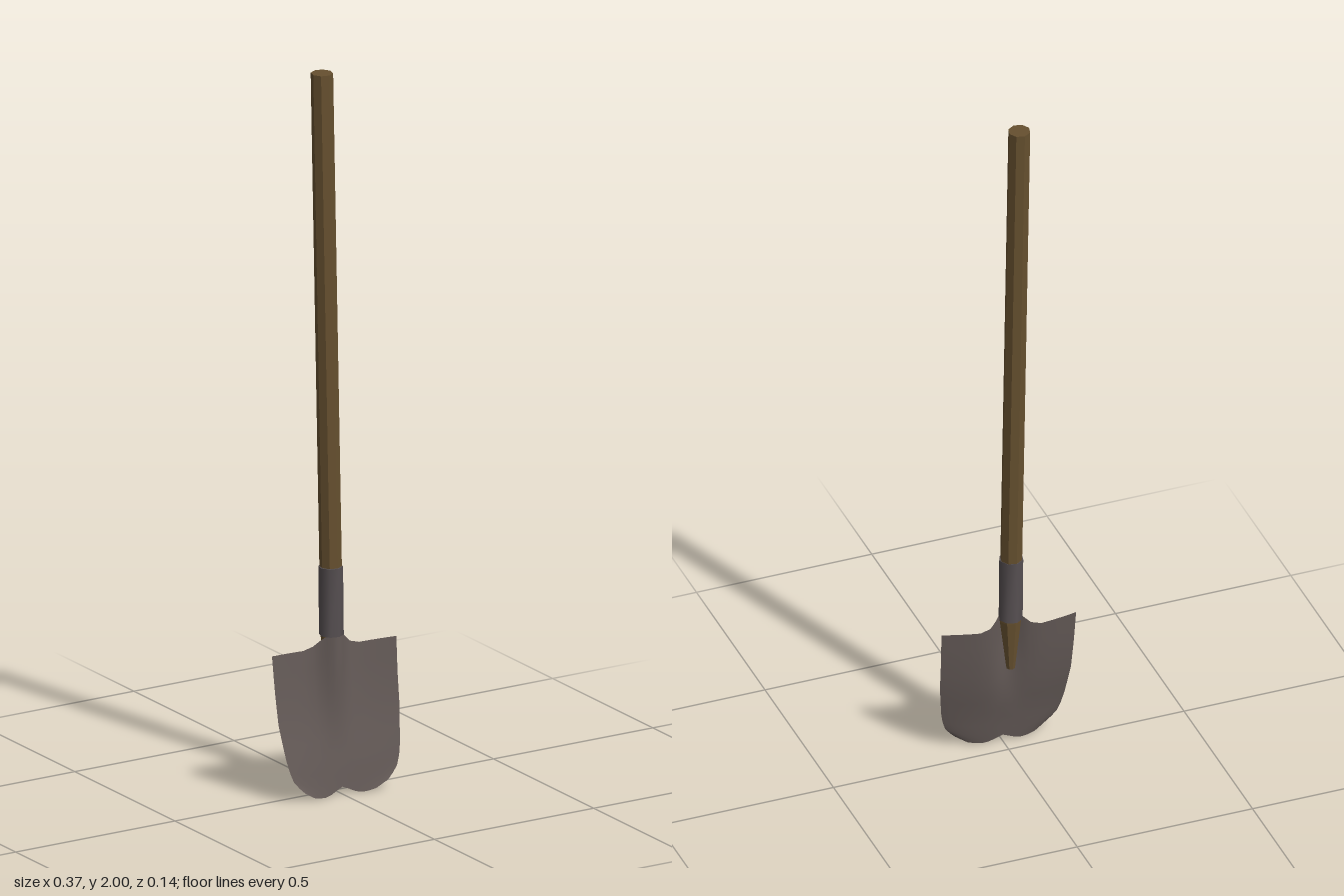
import * as THREE from 'three';

const wood = new THREE.MeshStandardMaterial({ color: 0x66502f });
wood.name = 'brown wood';
wood.flatShading = true;
const steel = new THREE.MeshStandardMaterial({ color: 0x645a57, side: THREE.DoubleSide });
steel.name = 'worn steel';
const darkSteel = new THREE.MeshStandardMaterial({ color: 0x575052 });
darkSteel.name = 'dark steel';

// Piecewise linear lookup in a list of [key, value] pairs
function lookup(table, k) {
  for (let i = 1; i < table.length; i++) {
    const [a, va] = table[i - 1], [b, vb] = table[i];
    if (k <= b) return THREE.MathUtils.lerp(va, vb, Math.max(0, (k - a) / (b - a)));
  }
  return table[table.length - 1][1];
}

// Leaning eight-sided rod with level ends; each end is [x, y, z, radius]
function rod(name, material, bottom, top) {
  const h = top[1] - bottom[1];
  const geo = new THREE.CylinderGeometry(top[3], bottom[3], h, 8, 1, false, 0.15);
  const p = geo.attributes.position;
  for (let i = 0; i < p.count; i++) {
    const t = p.getY(i) / h + 0.5;
    p.setXYZ(i,
      p.getX(i) + THREE.MathUtils.lerp(bottom[0], top[0], t),
      p.getY(i) + h / 2 + bottom[1],
      p.getZ(i) + THREE.MathUtils.lerp(bottom[2], top[2], t));
  }
  geo.computeVertexNormals();
  const mesh = new THREE.Mesh(geo, material);
  mesh.name = name;
  return mesh;
}

// Dished sheet with two rounded lobes and a pressed central ridge
function blade() {
  const half = [0, 0.06, 0.13, 0.2, 0.3, 0.45, 0.6, 0.75, 0.9, 1];
  const us = [...half.slice(1).reverse().map(u => -u), ...half];
  const rows = [0, 0.04, 0.09, 0.16, 0.25, 0.37, 0.5, 0.62, 0.74, 0.86, 1];
  const width = [[0, 0.125], [0.04, 0.14], [0.09, 0.155], [0.16, 0.164], [0.25, 0.171], [0.5, 0.182], [1, 0.187]];
  const lower = [[0, 0.024], [0.13, 0.017], [0.3, 0.007], [0.5, 0.002], [0.75, 0.01], [1, 0.03]];
  const upper = [[0, 0.445], [0.13, 0.437], [0.2, 0.425], [0.3, 0.408], [0.45, 0.4], [1, 0.405]];
  const depth = [[0, 0.046], [0.1, 0.03], [0.2, 0.007], [0.3, -0.009], [0.4, -0.02], [0.45, -0.022]];
  const pos = [], idx = [];
  rows.forEach((t, r) => us.forEach((u, c) => {
    const a = Math.abs(u);
    const x = u * lookup(width, t);
    const y = THREE.MathUtils.lerp(lookup(lower, a), lookup(upper, a), t);
    const ridge = 0.038 * THREE.MathUtils.smoothstep(t, 0.2, 0.95) * Math.exp(-((x / 0.038) ** 2));
    pos.push(x, y, lookup(depth, y) + 0.02 * a * a + 0.07 * x + ridge);
    if (r && c) {
      const n = us.length, i = r * n + c;
      idx.push(i - n - 1, i - n, i, i - n - 1, i, i - 1);
    }
  }));
  const geo = new THREE.BufferGeometry();
  geo.setAttribute('position', new THREE.Float32BufferAttribute(pos, 3));
  geo.setIndex(idx);
  geo.computeVertexNormals();
  const mesh = new THREE.Mesh(geo, steel);
  mesh.name = 'blade';
  return mesh;
}

export function createModel() {
  const group = new THREE.Group();
  group.name = 'shovel';
  group.add(
    rod('handle', wood, [0.002, 0.43, -0.015, 0.03], [-0.016, 2, -0.036, 0.03]),
    rod('handleTip', wood, [0.003, 0.28, -0.021, 0.012], [0.002, 0.43, -0.015, 0.03]),
    rod('socket', darkSteel, [0, 0.435, -0.014, 0.033], [-0.001, 0.625, -0.016, 0.033]),
    blade()
  );
  return group;
}
